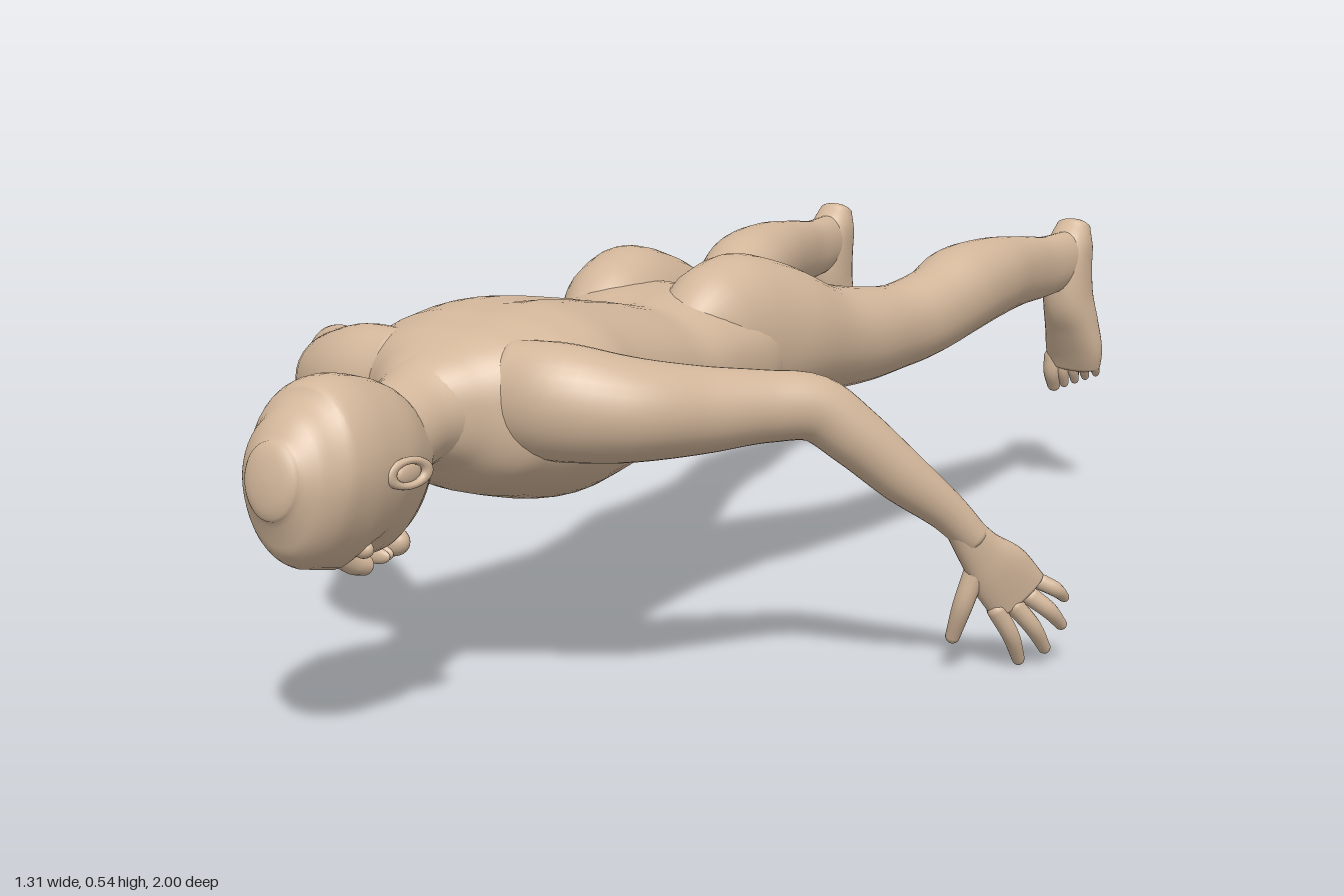
import * as THREE from 'three';

const skin = new THREE.MeshStandardMaterial({ color: 0xd2b69a });
const V = (x, y, z) => new THREE.Vector3(x, y, z);

// Smooth closed skin through rows [x, y, z, halfWidth, halfDepth], with domed ends.
// hint gives the depth direction, power the squareness, rule moves each vertex.
function loft(name, rows, { hint = V(0, 1, 0), sides = 32, steps = 5, power = 2, dome = 0.6, rule } = {}) {
  const path = new THREE.CatmullRomCurve3(rows.map(r => V(r[0], r[1], r[2])));
  const size = new THREE.CatmullRomCurve3(rows.map(r => V(r[3], r[4], 0)));
  const n = (rows.length - 1) * steps;
  const rings = [];
  const add = (t, push, scale) => {
    const T = path.getTangent(t), s = size.getPoint(t);
    const c = path.getPoint(t).addScaledVector(T, push * Math.min(s.x, s.y) * dome);
    rings.push({ c, T, a: s.x * scale, b: s.y * scale });
  };
  const arc = [0.02, 0.3, 0.6, 0.85, 1.15, 1.4];
  arc.forEach(k => add(0, -Math.cos(k), Math.sin(k)));
  for (let i = 0; i <= n; i++) add(i / n, 0, 1);
  [...arc].reverse().forEach(k => add(1, Math.cos(k), Math.sin(k)));

  const pos = [], idx = [];
  const bend = v => Math.sign(v) * Math.abs(v) ** (2 / power);
  rings.forEach(({ c, T, a, b }, i) => {
    const U = hint.clone().cross(T).normalize();
    const W = T.clone().cross(U);
    for (let j = 0; j < sides; j++) {
      const q = (j / sides) * Math.PI * 2;
      const p = c.clone().addScaledVector(U, a * bend(Math.cos(q))).addScaledVector(W, b * bend(Math.sin(q)));
      if (rule) rule(p);
      pos.push(p.x, p.y, p.z);
      if (i < rings.length - 1) {
        const k = i * sides + j, l = i * sides + ((j + 1) % sides);
        idx.push(k, l, k + sides, l, l + sides, k + sides);
      }
    }
  });
  // close both tips
  const last = (rings.length - 1) * sides;
  for (let j = 1; j < sides - 1; j++) idx.push(0, j + 1, j, last, last + j, last + j + 1);
  const g = new THREE.BufferGeometry();
  g.setAttribute('position', new THREE.Float32BufferAttribute(pos, 3));
  g.setIndex(idx);
  g.computeVertexNormals();
  const m = new THREE.Mesh(g, skin);
  m.name = name;
  return m;
}

// Rows along z given as [z, halfWidth, top, bottom]
const spine = list => list.map(([z, w, t, b]) => [0, (t + b) / 2, z, w, (t - b) / 2]);

function blob(name, x, y, z, rx, ry, rz) {
  const m = new THREE.Mesh(new THREE.SphereGeometry(1, 20, 14), skin);
  m.name = name;
  m.position.set(x, y, z);
  m.scale.set(rx, ry, rz);
  return m;
}

// Tapered finger or toe that bulges slightly at the middle joint
function digit(name, s, from, to, r, bow, hint) {
  const a = V(...from), b = V(...to);
  const mid = a.clone().lerp(b, 0.5).add(V(...bow));
  const row = (p, k) => [p.x * s, p.y, p.z, r * k, r * k];
  return loft(name, [row(a, 1.1), row(mid, 1), row(b, 0.72)], { sides: 12, steps: 4, dome: 1, hint });
}

function makeHead() {
  const g = new THREE.Group();
  g.name = 'head';
  g.add(loft('skull', spine([
    [0.985, 0.042, 0.42, 0.32], [0.965, 0.064, 0.45, 0.285], [0.93, 0.084, 0.474, 0.25],
    [0.88, 0.092, 0.485, 0.238], [0.83, 0.09, 0.472, 0.24], [0.79, 0.08, 0.448, 0.236],
    [0.755, 0.066, 0.42, 0.235], [0.735, 0.05, 0.39, 0.245],
  ]), {
    dome: 0.33, sides: 40, power: 2.1,
    rule: p => { // narrow the face and press in the eye sockets
      const t = Math.max(0, 0.37 - p.y) / 0.14;
      p.x *= 1 - 0.22 * t;
      if (p.y < 0.3) p.y += 0.014 * Math.exp(-(((Math.abs(p.x) - 0.034) / 0.02) ** 2) - ((p.z - 0.855) / 0.018) ** 2);
    },
  }));
  g.add(loft('nose', [[0, 0.25, 0.865, 0.009, 0.012], [0, 0.235, 0.835, 0.011, 0.014], [0, 0.228, 0.812, 0.016, 0.014]], { sides: 16 }));
  g.add(blob('upperLip', 0, 0.235, 0.787, 0.024, 0.011, 0.007));
  g.add(blob('lowerLip', 0, 0.236, 0.776, 0.021, 0.011, 0.007));
  g.add(blob('chin', 0, 0.246, 0.75, 0.026, 0.02, 0.018));
  for (const s of [1, -1]) {
    g.add(blob('eye', s * 0.033, 0.262, 0.855, 0.016, 0.012, 0.011));
    const rim = new THREE.Mesh(new THREE.TorusGeometry(0.02, 0.006, 10, 24), skin);
    rim.name = 'earRim';
    rim.rotation.y = Math.PI / 2 - s * 0.25;
    rim.scale.set(1.45, 0.8, 1);
    rim.position.set(s * 0.096, 0.363, 0.84);
    g.add(rim, blob('earLobe', s * 0.091, 0.361, 0.832, 0.007, 0.015, 0.026));
  }
  return g;
}

function makeTorso() {
  return loft('torso', spine([
    [0.70, 0.06, 0.462, 0.34], [0.66, 0.10, 0.485, 0.32], [0.62, 0.16, 0.505, 0.297],
    [0.56, 0.19, 0.52, 0.272], [0.49, 0.196, 0.526, 0.255], [0.41, 0.18, 0.52, 0.254],
    [0.30, 0.169, 0.503, 0.268], [0.20, 0.164, 0.486, 0.278], [0.12, 0.172, 0.495, 0.285],
    [0.04, 0.182, 0.495, 0.29], [-0.03, 0.165, 0.465, 0.30], [-0.07, 0.1, 0.42, 0.315],
  ]), {
    power: 2.35, sides: 48, dome: 0.3,
    rule: p => { // groove along the spine
      if (p.y > 0.42) p.y -= 0.01 * Math.exp(-((p.x / 0.022) ** 2) - ((p.z - 0.3) / 0.22) ** 2);
    },
  });
}

function makeArm(s) {
  const g = new THREE.Group();
  g.name = s > 0 ? 'leftArm' : 'rightArm';
  const flip = rows => rows.map(([x, ...rest]) => [x * s, ...rest]);
  g.add(loft('arm', flip([
    [0.09, 0.42, 0.60, 0.055, 0.075], [0.16, 0.415, 0.585, 0.07, 0.078], [0.225, 0.405, 0.54, 0.074, 0.07],
    [0.29, 0.398, 0.465, 0.059, 0.059], [0.35, 0.397, 0.395, 0.047, 0.049], [0.40, 0.391, 0.345, 0.041, 0.045],
    [0.44, 0.352, 0.308, 0.041, 0.042], [0.49, 0.292, 0.26, 0.036, 0.037], [0.535, 0.238, 0.21, 0.027, 0.028],
    [0.56, 0.2, 0.182, 0.023, 0.024],
  ])));
  const hint = V(-0.77 * s, 0.07, -0.63); // back of the hand
  g.add(loft('palm', flip([
    [0.55, 0.216, 0.195, 0.024, 0.02], [0.567, 0.18, 0.172, 0.032, 0.02],
    [0.588, 0.142, 0.143, 0.046, 0.019], [0.604, 0.108, 0.12, 0.047, 0.015],
  ]), { hint, sides: 24, power: 2.3 }));
  const fingers = [
    ['indexFinger', [0.584, 0.09, 0.146], [0.6, 0.012, 0.103], 0.0125],
    ['middleFinger', [0.603, 0.094, 0.126], [0.629, 0.027, 0.08], 0.0125],
    ['ringFinger', [0.617, 0.104, 0.103], [0.647, 0.06, 0.065], 0.012],
    ['littleFinger', [0.626, 0.122, 0.087], [0.648, 0.098, 0.059], 0.0105],
  ];
  for (const [name, a, b, r] of fingers) g.add(digit(name, s, a, b, r, [0.006, 0.002, 0.004], hint));
  g.add(digit('thumb', s, [0.562, 0.15, 0.172], [0.53, 0.052, 0.172], 0.0145, [0.002, 0, 0.008], V(0, 0, 1)));
  return g;
}

function makeLeg(s) {
  const g = new THREE.Group();
  g.name = s > 0 ? 'leftLeg' : 'rightLeg';
  const flip = rows => rows.map(([x, ...rest]) => [x * s, ...rest]);
  g.add(loft('leg', flip([
    [0.08, 0.42, 0.15, 0.05, 0.06], [0.084, 0.425, 0.09, 0.078, 0.1], [0.092, 0.422, 0.02, 0.091, 0.118],
    [0.104, 0.41, -0.07, 0.102, 0.108], [0.124, 0.389, -0.18, 0.093, 0.086], [0.15, 0.381, -0.28, 0.077, 0.076],
    [0.172, 0.383, -0.39, 0.063, 0.068], [0.192, 0.4, -0.48, 0.063, 0.069], [0.201, 0.42, -0.55, 0.07, 0.073],
    [0.213, 0.43, -0.65, 0.061, 0.068], [0.221, 0.43, -0.75, 0.044, 0.06], [0.23, 0.426, -0.85, 0.033, 0.053],
    [0.237, 0.43, -0.93, 0.034, 0.05],
  ]), { power: 2.1, dome: 0.4 }));
  // foot hangs toes down with the sole facing back
  const hint = V(0, 0, 1);
  g.add(loft('foot', flip([
    [0.238, 0.485, -0.968, 0.03, 0.026], [0.238, 0.455, -0.956, 0.038, 0.042], [0.239, 0.41, -0.944, 0.039, 0.054],
    [0.241, 0.36, -0.944, 0.041, 0.053], [0.244, 0.31, -0.957, 0.047, 0.041], [0.245, 0.265, -0.969, 0.052, 0.029],
    [0.243, 0.235, -0.976, 0.049, 0.021],
  ]), { hint, power: 2.3, dome: 0.5 }));
  for (let i = 0; i < 5; i++) {
    const x = 0.205 + i * 0.02, r = i ? 0.0115 - i * 0.0005 : 0.0165;
    const tip = i ? 0.189 + i * 0.008 : 0.192;
    g.add(digit('toe', s, [x, 0.245 + i * 0.002, -0.974], [x - 0.003, tip, -0.984], r, [0, 0, 0.006], hint));
  }
  return g;
}

export function createModel() {
  const body = new THREE.Group();
  body.name = 'proneFigure';
  body.add(makeHead(), makeTorso());
  body.add(loft('neck', spine([
    [0.81, 0.06, 0.45, 0.3], [0.76, 0.062, 0.446, 0.318], [0.71, 0.065, 0.458, 0.333], [0.66, 0.085, 0.482, 0.325], [0.6, 0.11, 0.5, 0.31],
  ])));
  for (const s of [1, -1]) body.add(makeArm(s), makeLeg(s));
  return body;
}
